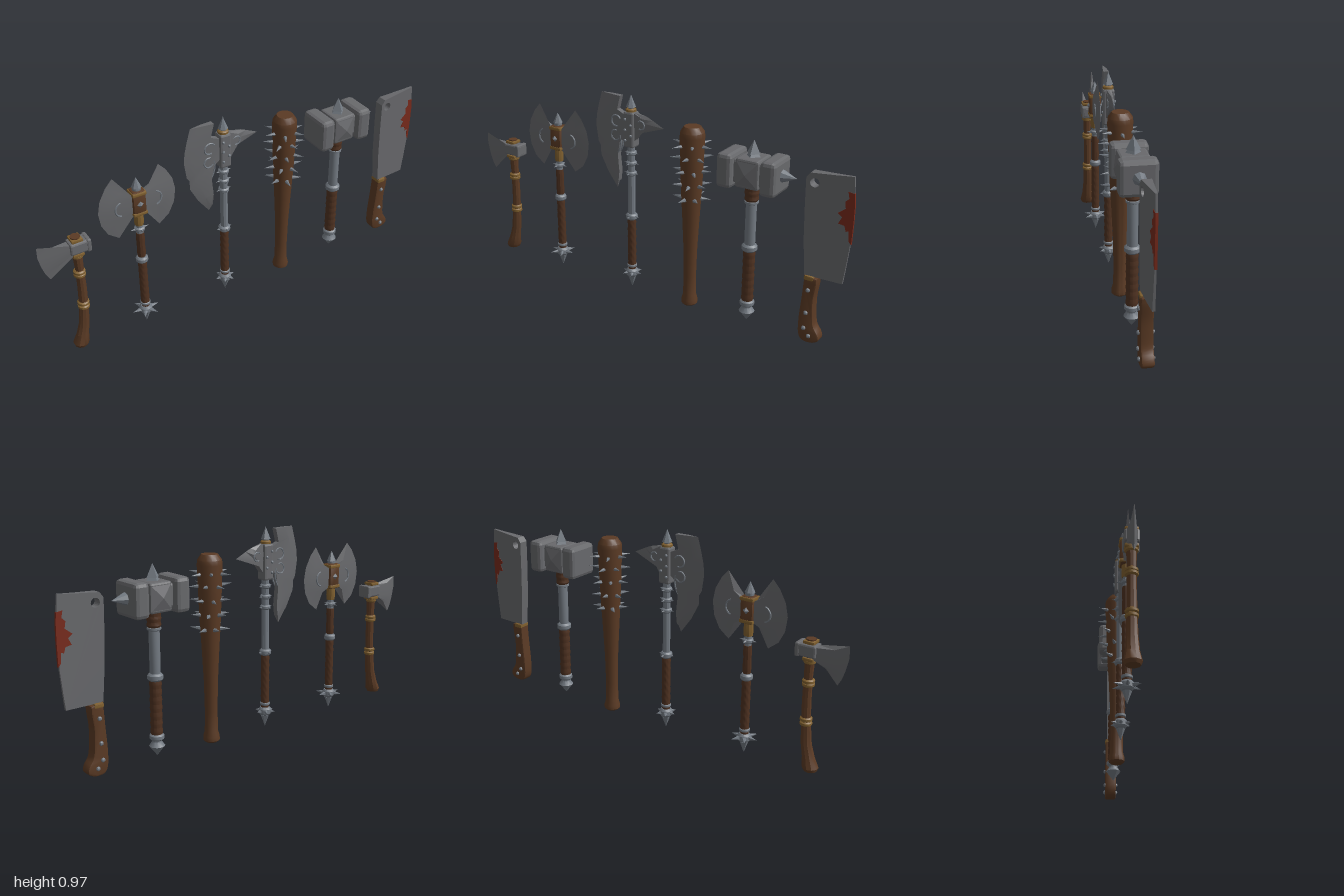
import * as THREE from 'three';
import { toCreasedNormals } from 'three/addons/utils/BufferGeometryUtils.js';
import { RoundedBoxGeometry } from 'three/addons/geometries/RoundedBoxGeometry.js';

const flat = (name, color) => {
  const m = new THREE.MeshStandardMaterial({ color });
  m.name = name;
  return m;
};

export function createModel() {
  const steel = flat('steel', 0x68696c);
  const paleSteel = flat('pale steel', 0x737a82);
  const wood = flat('wood', 0x5a3a24);
  const leather = flat('leather', 0x4f3221);
  const strap = flat('strap', 0x80602f);
  const blood = flat('dried blood', 0x782a1b);
  const model = new THREE.Group();

  const group = (name, x = 0) => {
    const g = new THREE.Group();
    g.name = name;
    g.position.x = x;
    model.add(g);
    return g;
  };
  const add = (parent, name, geo, mat, x = 0, y = 0, z = 0, crease = 0.6) => {
    const m = new THREE.Mesh(toCreasedNormals(geo, crease), mat);
    m.name = name;
    m.position.set(x, y, z);
    parent.add(m);
    return m;
  };
  // Turned part from [radius, height, sideways shift] points, bottom to top
  const turned = (parent, name, mat, pts, sides = 12) => {
    const prof = [[0, pts[0][1], pts[0][2]], ...pts, [0, pts.at(-1)[1], pts.at(-1)[2]]];
    const geo = new THREE.LatheGeometry(prof.map(p => new THREE.Vector2(p[0], p[1])), sides);
    const pos = geo.attributes.position;
    for (let i = 0; i < pos.count; i++) pos.setX(i, pos.getX(i) + (prof[i % prof.length][2] || 0));
    return add(parent, name, geo, mat);
  };
  // Rounded collar centred at height y
  const collar = (parent, mat, y, r, h = 0.024) =>
    turned(parent, 'collar', mat, [[r * 0.75, y - h / 2], [r, y - h / 4], [r, y + h / 4], [r * 0.75, y + h / 2]]);
  // Cone from a base point along a direction
  const spike = (parent, name, base, dir, len, r, sides = 6, mat = paleSteel) => {
    const geo = new THREE.ConeGeometry(r, len, sides).translate(0, len / 2, 0);
    const m = add(parent, name, geo, mat, ...base, 0.1);
    m.quaternion.setFromUnitVectors(new THREE.Vector3(0, 1, 0), new THREE.Vector3(...dir).normalize());
    return m;
  };
  const spikeRing = (parent, y, r, len, n, width) => {
    for (let i = 0; i < n; i++) {
      const a = (i / n) * Math.PI * 2;
      spike(parent, 'ringSpike', [Math.cos(a) * r, y, Math.sin(a) * r], [Math.cos(a), 0, Math.sin(a)], len, width, 5);
    }
  };
  // Wound grip with shallow waves
  const grip = (parent, y0, y1, r) => {
    const pts = [];
    for (let i = 0; i <= 14; i++) pts.push([r * (i % 2 ? 1 : 0.9), y0 + (y1 - y0) * i / 14]);
    turned(parent, 'grip', leather, pts);
  };
  const studs = (parent, list, z, r, mat = paleSteel) => {
    for (const [x, y] of list) for (const s of [-1, 1])
      add(parent, 'stud', new THREE.SphereGeometry(r, 8, 6), mat, x, y, s * z, 1);
  };
  // Blade pointing to -x; rows run downward: [inner xy, bevel xy, edge xy]
  const blade = (parent, name, rows, tIn, tMid) => {
    const pos = [], idx = [];
    for (const [a, b, c, d, e, f] of rows) pos.push(a, b, tIn, c, d, tMid, e, f, 0, c, d, -tMid, a, b, -tIn);
    for (let i = 0; i < rows.length - 1; i++) for (let j = 0; j < 5; j++) {
      const k = (j + 1) % 5, p = i * 5, q = p + 5;
      idx.push(p + j, p + k, q + k, p + j, q + k, q + j);
    }
    const l = (rows.length - 1) * 5;
    for (let k = 1; k < 4; k++) idx.push(0, k + 1, k, l, l + k, l + k + 1);
    const geo = new THREE.BufferGeometry();
    geo.setAttribute('position', new THREE.Float32BufferAttribute(pos, 3));
    geo.setIndex(idx);
    return add(parent, name, geo, steel, 0, 0, 0, 0.3);
  };
  // Raised curl on both faces of a blade
  const curl = (parent, x, y, r, start, arc, z) => {
    for (const s of [-1, 1]) {
      const m = add(parent, 'curl', new THREE.TorusGeometry(r, 0.004, 5, 14, arc), paleSteel, x, y, s * z, 1);
      m.rotation.z = start;
    }
  };

  // Hatchet
  const hatchet = group('hatchet', -0.826);
  turned(hatchet, 'handle', wood, [[0.03, 0.03, -0.035], [0.037, 0.045, -0.033], [0.028, 0.09, -0.022], [0.024, 0.15, -0.008],
    [0.021, 0.25, 0], [0.02, 0.35, 0.003], [0.019, 0.46, 0.002], [0.022, 0.55, 0], [0.022, 0.63, 0]], 10);
  for (const y of [0.245, 0.265, 0.425, 0.44, 0.53]) collar(hatchet, strap, y, 0.027, 0.02);
  add(hatchet, 'poll', new RoundedBoxGeometry(0.095, 0.056, 0.062, 1, 0.008), steel, 0.012, 0.58, 0, 0.2);
  add(hatchet, 'pollFace', new RoundedBoxGeometry(0.02, 0.062, 0.068, 1, 0.006), steel, 0.049, 0.58, 0, 0.2);
  for (const y of [0.542, 0.617]) add(hatchet, 'binding', new RoundedBoxGeometry(0.052, 0.015, 0.056, 1, 0.005), strap, 0, y, 0);
  blade(hatchet, 'hatchetBlade', [[-0.02, 0.6, -0.11, 0.606, -0.171, 0.634], [-0.02, 0.59, -0.12, 0.58, -0.172, 0.58],
    [-0.02, 0.57, -0.12, 0.54, -0.16, 0.525], [-0.02, 0.56, -0.105, 0.515, -0.147, 0.485], [-0.02, 0.548, -0.085, 0.513, -0.129, 0.452]], 0.022, 0.008);

  // Shared shaft of the two long axes
  const longShaft = (g, top, r, reach) => {
    spike(g, 'buttSpike', [0, 0.065, 0], [0, -1, 0], 0.055, 0.02, 6);
    collar(g, paleSteel, 0.088, 0.03, 0.04);
    spikeRing(g, 0.088, 0.022, reach - 0.022, 6, 0.012);
    grip(g, 0.108, 0.37, 0.021);
    collar(g, paleSteel, 0.125, 0.024, 0.018);
    collar(g, paleSteel, 0.382, 0.028, 0.03);
    turned(g, 'shaft', paleSteel, [[r, 0.37], [r, top]], 10);
  };

  // Double-bladed axe
  const doubleAxe = group('doubleAxe', -0.529);
  longShaft(doubleAxe, 0.65, 0.016, 0.066);
  turned(doubleAxe, 'shaftWrap', leather, [[0.018, 0.4], [0.02, 0.43], [0.018, 0.47], [0.02, 0.5], [0.018, 0.53]], 10);
  turned(doubleAxe, 'wrapBand', strap, [[0.02, 0.575], [0.022, 0.6], [0.02, 0.635]], 10);
  collar(doubleAxe, paleSteel, 0.552, 0.024, 0.02);
  spikeRing(doubleAxe, 0.552, 0.015, 0.03, 4, 0.008);
  add(doubleAxe, 'headBlock', new RoundedBoxGeometry(0.062, 0.125, 0.058, 1, 0.01), wood, 0, 0.695, 0);
  for (const y of [0.645, 0.745]) add(doubleAxe, 'headBand', new RoundedBoxGeometry(0.067, 0.018, 0.063, 1, 0.006), strap, 0, y, 0);
  collar(doubleAxe, paleSteel, 0.765, 0.02, 0.025);
  spike(doubleAxe, 'topSpike', [0, 0.77, 0], [0, 1, 0], 0.05, 0.023);
  for (const s of [1, -1]) {
    blade(doubleAxe, 'axeBlade', [[-0.025, 0.735, -0.075, 0.765, -0.108, 0.848], [-0.025, 0.725, -0.105, 0.755, -0.142, 0.81],
      [-0.025, 0.71, -0.135, 0.72, -0.172, 0.755], [-0.025, 0.695, -0.14, 0.69, -0.184, 0.695], [-0.025, 0.68, -0.135, 0.66, -0.175, 0.63],
      [-0.025, 0.665, -0.105, 0.63, -0.147, 0.575], [-0.025, 0.645, -0.07, 0.618, -0.098, 0.537]], 0.016, 0.008).scale.x = s;
    curl(doubleAxe, s * 0.075, 0.69, 0.035, s > 0 ? -1.3 : 1.84, 2.6, 0.012);
    spike(doubleAxe, 'frontSpike', [0, 0.695, s * 0.027], [0, 0, s], 0.014, 0.018, 4);
  }

  // Great axe with a back hook
  const greatAxe = group('greatAxe', -0.099);
  longShaft(greatAxe, 0.78, 0.018, 0.05);
  for (const y of [0.6, 0.65, 0.7]) {
    collar(greatAxe, paleSteel, y, 0.025, 0.022);
    spikeRing(greatAxe, y, 0.015, 0.025, 4, 0.007);
  }
  spikeRing(greatAxe, 0.382, 0.02, 0.02, 4, 0.009);
  add(greatAxe, 'headBlock', new RoundedBoxGeometry(0.055, 0.17, 0.055, 1, 0.009), steel, 0, 0.815, 0, 0.2);
  studs(greatAxe, [[-0.015, 0.765], [0.015, 0.79], [-0.015, 0.815], [0.015, 0.84], [-0.015, 0.865]], 0.028, 0.007);
  collar(greatAxe, strap, 0.905, 0.025, 0.018);
  turned(greatAxe, 'spikeNeck', steel, [[0.015, 0.9], [0.015, 0.93]], 8);
  spike(greatAxe, 'topSpike', [0, 0.92, 0], [0, 1, 0], 0.058, 0.023);
  blade(greatAxe, 'greatBlade', [[-0.052, 0.965, -0.11, 0.967, -0.163, 0.967], [-0.069, 0.9, -0.135, 0.915, -0.181, 0.905],
    [-0.025, 0.88, -0.145, 0.86, -0.194, 0.85], [-0.025, 0.835, -0.15, 0.8, -0.198, 0.8], [-0.025, 0.775, -0.145, 0.74, -0.187, 0.725],
    [-0.055, 0.75, -0.14, 0.71, -0.174, 0.705], [-0.068, 0.68, -0.125, 0.66, -0.173, 0.66], [-0.06, 0.6, -0.1, 0.595, -0.134, 0.585],
    [-0.066, 0.55, -0.073, 0.545, -0.08, 0.512]], 0.013, 0.009);
  blade(greatAxe, 'backHook', [[-0.02, 0.9, -0.025, 0.9, -0.028, 0.9], [-0.02, 0.86, -0.07, 0.875, -0.09, 0.886],
    [-0.02, 0.82, -0.08, 0.856, -0.12, 0.873], [-0.02, 0.765, -0.05, 0.815, -0.177, 0.846], [-0.02, 0.757, -0.05, 0.8, -0.1, 0.846]], 0.016, 0.012).scale.x = -1;
  curl(greatAxe, -0.075, 0.845, 0.026, 0.5, 4.6, 0.012);
  curl(greatAxe, -0.08, 0.775, 0.024, 1.2, 4.6, 0.011);
  curl(greatAxe, -0.15, 0.75, 0.1, -0.6, 0.9, 0.01);
  curl(greatAxe, 0.06, 0.845, 0.02, -2, 4.4, 0.012);

  // Spiked club
  const club = group('spikedClub', 0.227);
  turned(club, 'clubBody', wood, [[0.028, 0.013], [0.038, 0.022], [0.038, 0.04], [0.031, 0.065], [0.029, 0.16], [0.032, 0.3], [0.039, 0.44],
    [0.047, 0.58], [0.052, 0.7], [0.057, 0.84], [0.055, 0.862], [0.038, 0.887]], 14);
  [0.8, 0.745, 0.68, 0.615, 0.55].forEach((y, row) => {
    for (let i = 0; i < 6; i++) {
      const a = (i + row * 0.42) / 6 * Math.PI * 2, c = Math.cos(a), s = Math.sin(a);
      spike(club, 'clubSpike', [c * 0.035, y, s * 0.035], [c, (i % 2) * 0.12, s], 0.068 - row * 0.003, 0.012, 6);
    }
  });

  // War hammer
  const hammer = group('warHammer', 0.529);
  spike(hammer, 'buttSpike', [0, 0.068, 0], [0, -1, 0], 0.046, 0.036, 6);
  turned(hammer, 'buttNeck', paleSteel, [[0.036, 0.068], [0.022, 0.088], [0.022, 0.1]]);
  collar(hammer, paleSteel, 0.11, 0.033, 0.03);
  grip(hammer, 0.12, 0.37, 0.028);
  collar(hammer, paleSteel, 0.384, 0.035, 0.034);
  turned(hammer, 'shaft', paleSteel, [[0.024, 0.37], [0.024, 0.62]]);
  turned(hammer, 'neckWrap', leather, [[0.027, 0.605], [0.032, 0.615], [0.029, 0.63], [0.033, 0.645], [0.03, 0.655], [0.033, 0.67], [0.03, 0.69]]);
  collar(hammer, paleSteel, 0.6, 0.031, 0.018);
  add(hammer, 'headCore', new RoundedBoxGeometry(0.2, 0.108, 0.1, 1, 0.012), steel, 0, 0.743, 0, 0.2);
  add(hammer, 'headPlate', new RoundedBoxGeometry(0.11, 0.132, 0.126, 1, 0.01), steel, 0, 0.743, 0, 0.2);
  for (const s of [-1, 1]) {
    add(hammer, 'strikingBlock', new RoundedBoxGeometry(0.072, 0.155, 0.162, 1, 0.018), steel, s * 0.103, 0.743, 0, 0.2);
    const p = add(hammer, 'facePyramid', new THREE.ConeGeometry(0.068, 0.016, 4).rotateY(Math.PI / 4).rotateX(s * Math.PI / 2),
      steel, 0, 0.743, s * 0.071, 0.1);
    p.scale.y = 1.1;
  }
  spike(hammer, 'sideSpike', [0.136, 0.748, 0], [1, 0, 0], 0.07, 0.03, 8);
  add(hammer, 'topBase', new THREE.CylinderGeometry(0.022, 0.035, 0.02, 4), paleSteel, 0, 0.815, 0, 0.1);
  spike(hammer, 'topSpike', [0, 0.822, 0], [0, 1, 0], 0.06, 0.031, 4);

  // Cleaver: steel and stain share one taper from spine to edge
  const cleaver = group('cleaver');
  const vec = pts => pts.map(p => new THREE.Vector2(p[0], p[1]));
  const tapered = (name, shape, mat, extra) => {
    const geo = new THREE.ExtrudeGeometry(shape, { depth: 2, bevelEnabled: false, curveSegments: 10 }).translate(0, 0, -1);
    const pos = geo.attributes.position;
    for (let i = 0; i < pos.count; i++) {
      const k = (pos.getX(i) - 0.78) / 0.21;
      pos.setZ(i, pos.getZ(i) * (0.023 - 0.019 * k + extra));
    }
    add(cleaver, name, geo, mat, 0, 0, 0, 0.3);
  };
  const bladeShape = new THREE.Shape(vec([[0.803, 0.335], [0.968, 0.33], [0.976, 0.4], [0.986, 0.5], [0.991, 0.62], [0.99, 0.7], [0.982, 0.812],
    [0.9, 0.805], [0.8, 0.798], [0.783, 0.775], [0.785, 0.65], [0.79, 0.5]]));
  bladeShape.holes.push(new THREE.Path().absarc(0.82, 0.757, 0.02, 0, Math.PI * 2, true));
  tapered('cleaverBlade', bladeShape, steel, 0);
  tapered('bloodStain', new THREE.Shape(vec([[0.991, 0.515], [0.9935, 0.62], [0.993, 0.7], [0.989, 0.74], [0.962, 0.745], [0.968, 0.715], [0.952, 0.7],
    [0.957, 0.67], [0.925, 0.645], [0.945, 0.63], [0.93, 0.6], [0.957, 0.595], [0.965, 0.57], [0.977, 0.575], [0.98, 0.53]])), blood, 0.0015);
  const gripCurve = new THREE.CatmullRomCurve3([[0.808, 0.335], [0.801, 0.22], [0.794, 0.12], [0.797, 0.05], [0.812, 0.025], [0.86, 0.022],
    [0.887, 0.04], [0.882, 0.065], [0.86, 0.1], [0.852, 0.17], [0.851, 0.23], [0.86, 0.3], [0.86, 0.325]].map(p => new THREE.Vector3(p[0], p[1], 0)));
  const gripGeo = new THREE.ExtrudeGeometry(new THREE.Shape(gripCurve.getPoints(40).map(p => new THREE.Vector2(p.x, p.y))),
    { depth: 0.036, bevelThickness: 0.009, bevelSize: 0.007, bevelOffset: -0.004, bevelSegments: 2 }).translate(0, 0, -0.018);
  add(cleaver, 'cleaverHandle', gripGeo, wood, 0, 0, 0, 0.7);
  add(cleaver, 'bolster', new RoundedBoxGeometry(0.045, 0.022, 0.058, 1, 0.006), strap, 0.826, 0.325, 0);
  studs(cleaver, [[0.828, 0.27], [0.825, 0.16], [0.82, 0.085], [0.845, 0.052]], 0.028, 0.01);
  return model;
}
